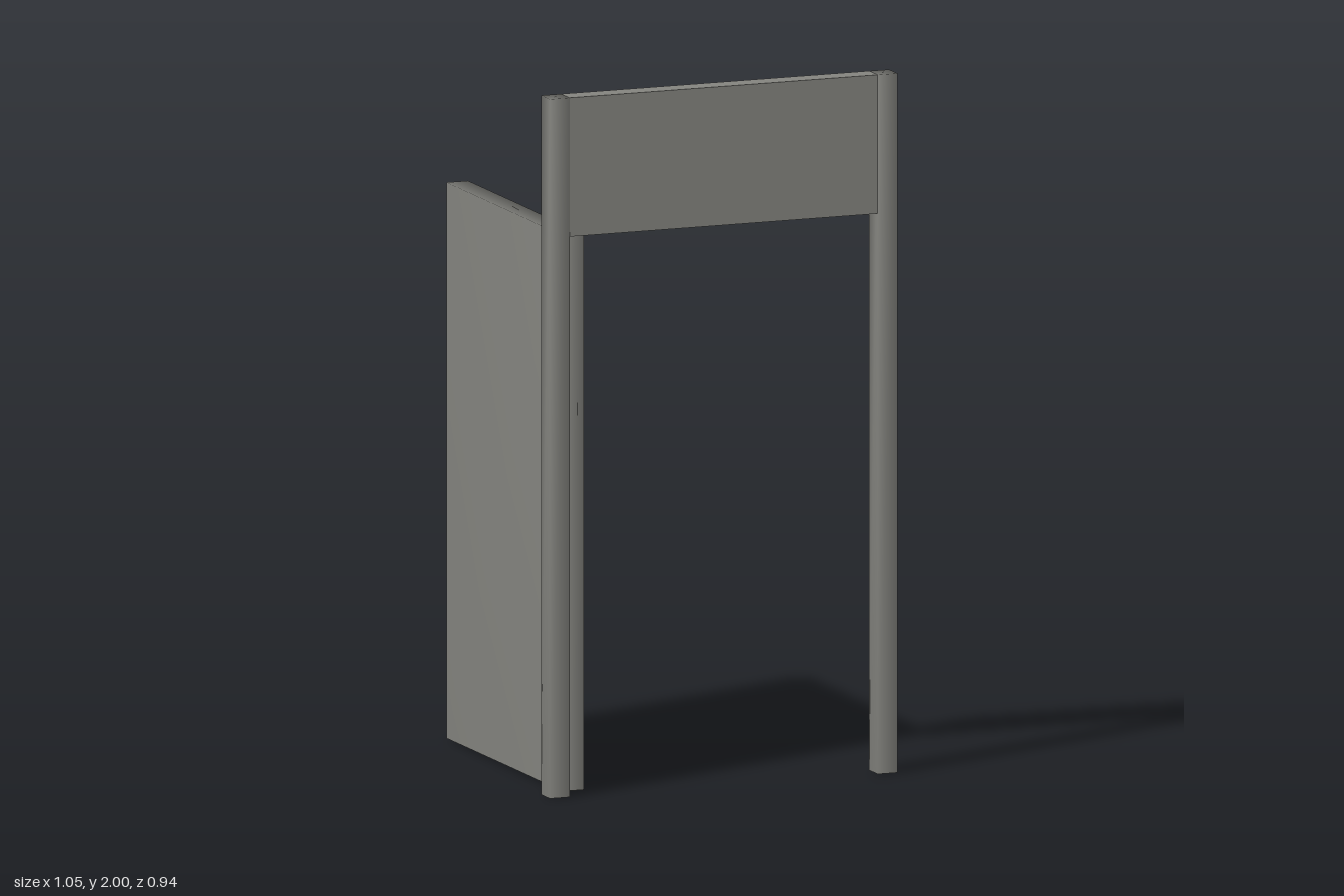
import * as THREE from 'three';
import { mergeVertices } from 'three/addons/utils/BufferGeometryUtils.js';

const grey = new THREE.MeshStandardMaterial({ color: 0x84847f });
grey.name = 'grey';

// Box given by its ranges; a soft box shares its corners so its shading is smooth
function addBox(parent, name, [x0, x1], [y0, y1], [z0, z1], soft = true) {
  let geometry = new THREE.BoxGeometry(x1 - x0, y1 - y0, z1 - z0);
  if (soft) {
    geometry.deleteAttribute('normal');
    geometry.deleteAttribute('uv');
    geometry = mergeVertices(geometry);
    geometry.computeVertexNormals();
  }
  const mesh = new THREE.Mesh(geometry, grey);
  mesh.name = name;
  mesh.position.set((x0 + x1) / 2, (y0 + y1) / 2, (z0 + z1) / 2);
  parent.add(mesh);
  return mesh;
}

export function createModel() {
  const model = new THREE.Group();
  model.name = 'openDoorway';

  // Frame: two full-height posts and a deep panel between them
  const frame = new THREE.Group();
  frame.name = 'frame';
  addBox(frame, 'rightPost', [-0.527, -0.467], [0, 2], [0.402, 0.467]);
  addBox(frame, 'leftPost', [0.467, 0.527], [0, 2], [0.402, 0.467]);
  addBox(frame, 'headPanel', [-0.467, 0.467], [1.603, 2], [0.402, 0.466], false);

  // Door leaf, swung open to the back
  const door = new THREE.Group();
  door.name = 'door';
  addBox(door, 'leaf', [-0.462, -0.397], [0.005, 1.595], [-0.47, 0.402]);

  // Handle: back plate, stem and lever
  const handle = new THREE.Group();
  handle.name = 'handle';
  addBox(handle, 'plate', [-0.397, -0.393], [0.7, 0.914], [-0.425, -0.366]);
  addBox(handle, 'stem', [-0.394, -0.363], [0.795, 0.825], [-0.413, -0.386]);
  addBox(handle, 'lever', [-0.364, -0.334], [0.795, 0.825], [-0.411, -0.244]);
  door.add(handle);

  model.add(frame, door);
  return model;
}
